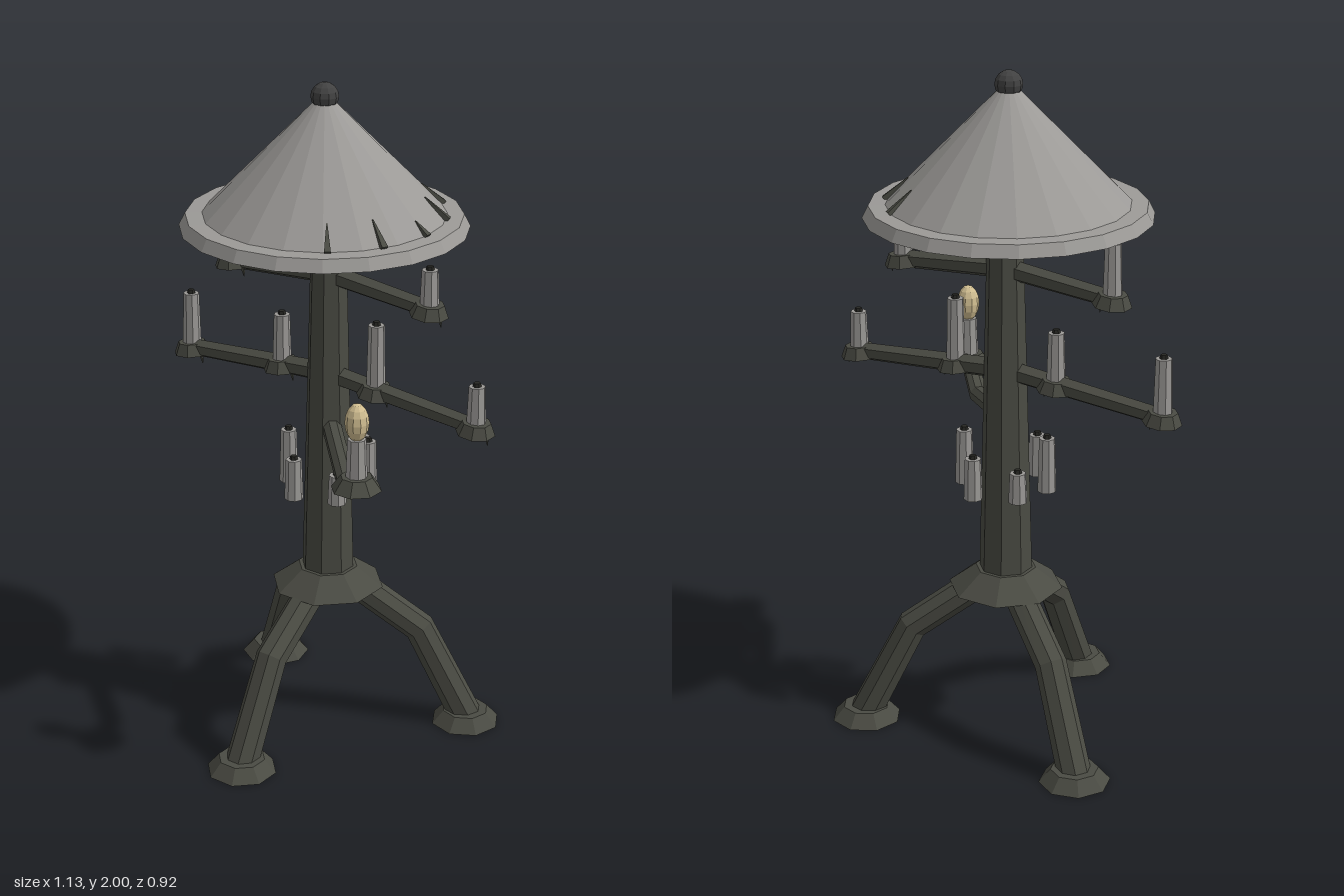
import * as THREE from 'three';

const AXIS_Z = -0.065; // pole axis
const V = (x, y, z) => new THREE.Vector3(x, y, z);

// Give every facet its own normal
function faceted(geometry) {
  const g = geometry.index ? geometry.toNonIndexed() : geometry;
  g.computeVertexNormals();
  return g;
}

// Closed many-sided bar swept along a bent path, one radius per point
function limbGeometry(points, radii, sides, ref) {
  const pos = [], idx = [], last = points.length - 1;
  points.forEach((p, i) => {
    const t = points[Math.min(i + 1, last)].clone().sub(points[Math.max(i - 1, 0)]).normalize();
    const n = ref.clone().addScaledVector(t, -ref.dot(t)).normalize();
    const b = t.clone().cross(n);
    for (let j = 0; j < sides; j++) {
      const a = ((j + 0.5) / sides) * Math.PI * 2;
      const q = p.clone().addScaledVector(n, Math.cos(a) * radii[i]).addScaledVector(b, Math.sin(a) * radii[i]);
      pos.push(q.x, q.y, q.z);
    }
  });
  for (let j = 0; j < sides; j++) {
    const k = (j + 1) % sides;
    for (let i = 0; i < last; i++) {
      const a = i * sides, c = a + sides;
      idx.push(a + j, a + k, c + k, a + j, c + k, c + j);
    }
    if (j > 0 && j < sides - 1) {
      idx.push(0, k, j, last * sides, last * sides + j, last * sides + k);
    }
  }
  const g = new THREE.BufferGeometry();
  g.setAttribute('position', new THREE.Float32BufferAttribute(pos, 3));
  g.setIndex(idx);
  return faceted(g);
}

export function createModel() {
  const model = new THREE.Group();
  const material = (name, color) => {
    const m = new THREE.MeshStandardMaterial({ color });
    m.name = name;
    return m;
  };
  const iron = material('dark iron', 0x4a4b43);
  const grey = material('pale grey', 0x9c9a97);
  const knob = material('charcoal', 0x424242);
  const wickBlack = material('wick black', 0x262622);
  const glow = material('warm bulb', 0xd2bf92);

  const add = (name, geometry, mat, parent = model) => {
    const mesh = new THREE.Mesh(geometry, mat);
    mesh.name = name;
    parent.add(mesh);
    return mesh;
  };
  const limb = (name, points, radii, sides, ref, mat = iron, parent = model) =>
    add(name, limbGeometry(points, radii, sides, ref), mat, parent);
  // Tapered octagonal plate standing on y
  const plate = (name, x, y, z, top, bottom, height, parent = model) => {
    const g = new THREE.CylinderGeometry(top, bottom, height, 8);
    g.rotateY(Math.PI / 8);
    const mesh = add(name, faceted(g), iron, parent);
    mesh.position.set(x, y + height / 2, z);
    return mesh;
  };
  const candle = (x, z, y0, y1, r = 0.028) => {
    const group = new THREE.Group();
    group.name = 'candle';
    group.position.set(x, y0, z);
    const h = y1 - y0;
    const body = add('candleBody', faceted(new THREE.CylinderGeometry(r * 0.85, r, h, 8)), grey, group);
    body.position.y = h / 2;
    const wick = add('wick', faceted(new THREE.CylinderGeometry(r * 0.35, r * 0.45, 0.012, 6)), wickBlack, group);
    wick.position.y = h + 0.005;
    model.add(group);
  };

  // Pole, bending forward at the top
  limb('pole', [V(0, 0.45, AXIS_Z), V(0, 1.51, AXIS_Z), V(0, 1.6, -0.045)], [0.08, 0.053, 0.05], 8, V(1, 0, 0));
  plate('legCollar', 0, 0.45, AXIS_Z, 0.09, 0.17, 0.06);

  // Three legs with feet
  for (let i = 0; i < 3; i++) {
    const leg = new THREE.Group();
    leg.name = 'leg';
    leg.position.z = AXIS_Z;
    leg.rotation.y = (i * Math.PI * 2) / 3;
    limb('legBar', [V(0, 0.475, 0.05), V(0, 0.31, 0.28), V(0, 0.02, 0.425)], [0.046, 0.047, 0.05], 8, V(1, 0, 0), iron, leg);
    plate('foot', 0, 0, 0.425, 0.07, 0.105, 0.04, leg);
    model.add(leg);
  }

  // Drooping side arms: [height at pole, slope, reach, [candle x, candle top] list]
  const arms = [
    [1.435, 0.09, 0.37, [[-0.35, 1.565], [0.35, 1.52]]],
    [1.13, 0.08, 0.53, [[-0.515, 1.262], [-0.17, 1.272], [0.17, 1.315], [0.515, 1.212]]],
  ];
  for (const [y, slope, reach, candles] of arms) {
    for (const s of [-1, 1]) {
      limb('sideArm', [V(0, y, AXIS_Z), V(s * reach, y - slope * reach, AXIS_Z)], [0.031, 0.026], 6, V(0, 0, 1));
    }
    for (const [x, top] of candles) {
      const yx = y - slope * Math.abs(x);
      const tray = plate('tray', x, yx - 0.018, AXIS_Z, 0.042, 0.057, 0.035);
      tray.rotation.z = -Math.sign(x) * slope;
      // Small hanging drip
      limb('drip', [V(x + 0.035, yx - 0.01, AXIS_Z), V(x + 0.04, yx - 0.045, AXIS_Z)], [0.009, 0.001], 4, V(1, 0, 0));
      candle(x, AXIS_Z, yx + 0.01, top);
    }
  }

  // Bent front arm with a bulb
  limb('bulbArm', [V(0.02, 0.98, -0.05), V(0.255, 0.918, 0.185), V(0.345, 0.99, 0.27)], [0.029, 0.028, 0.026], 8, V(1, 0, -1));
  plate('bulbTray', 0.345, 0.975, 0.268, 0.045, 0.072, 0.038);
  candle(0.345, 0.268, 1.0, 1.125, 0.031);
  const bulb = add('bulb', faceted(new THREE.SphereGeometry(0.034, 10, 8)), glow);
  bulb.scale.y = 1.65;
  bulb.position.set(0.345, 1.173, 0.268);

  // Candles clustered round the pole, in opposite pairs: [x, z, top, radius]
  for (const [x, z, top, r] of [[0.12, -0.035, 0.93, 0.028], [-0.03, 0.128, 0.89, 0.028], [0.092, 0.08, 0.855, 0.028]]) {
    for (const s of [-1, 1]) candle(s * x, AXIS_Z + s * z, 0.765, top, r);
  }

  // Conical shade with a flared rim and closed underside
  const shade = new THREE.Group();
  shade.name = 'shade';
  shade.position.z = -0.045;
  const profile = [[0, 1.585], [0.413, 1.585], [0.395, 1.62], [0.347, 1.622], [0.02, 1.955], [0, 1.955]];
  add('shadeCone', faceted(new THREE.LatheGeometry(profile.map(([r, y]) => new THREE.Vector2(r, y)), 20)), grey, shade);
  // Narrow dark notches on one side
  for (let i = -2; i <= 2; i++) {
    const a = (i * 26 * Math.PI) / 180;
    const at = (r, y) => V(Math.cos(a) * r, y, Math.sin(a) * r);
    const tip = i === 0 ? 0.31 : 0.285;
    limb('notch', [at(0.352, 1.622), at(tip, 1.622 + (0.347 - tip) * 1.02)], [0.013, 0.002], 4, V(0, 1, 0), iron, shade);
  }
  const finial = add('finial', faceted(new THREE.SphereGeometry(0.04, 10, 8)), knob, shade);
  finial.position.y = 1.96;
  model.add(shade);

  return model;
}
